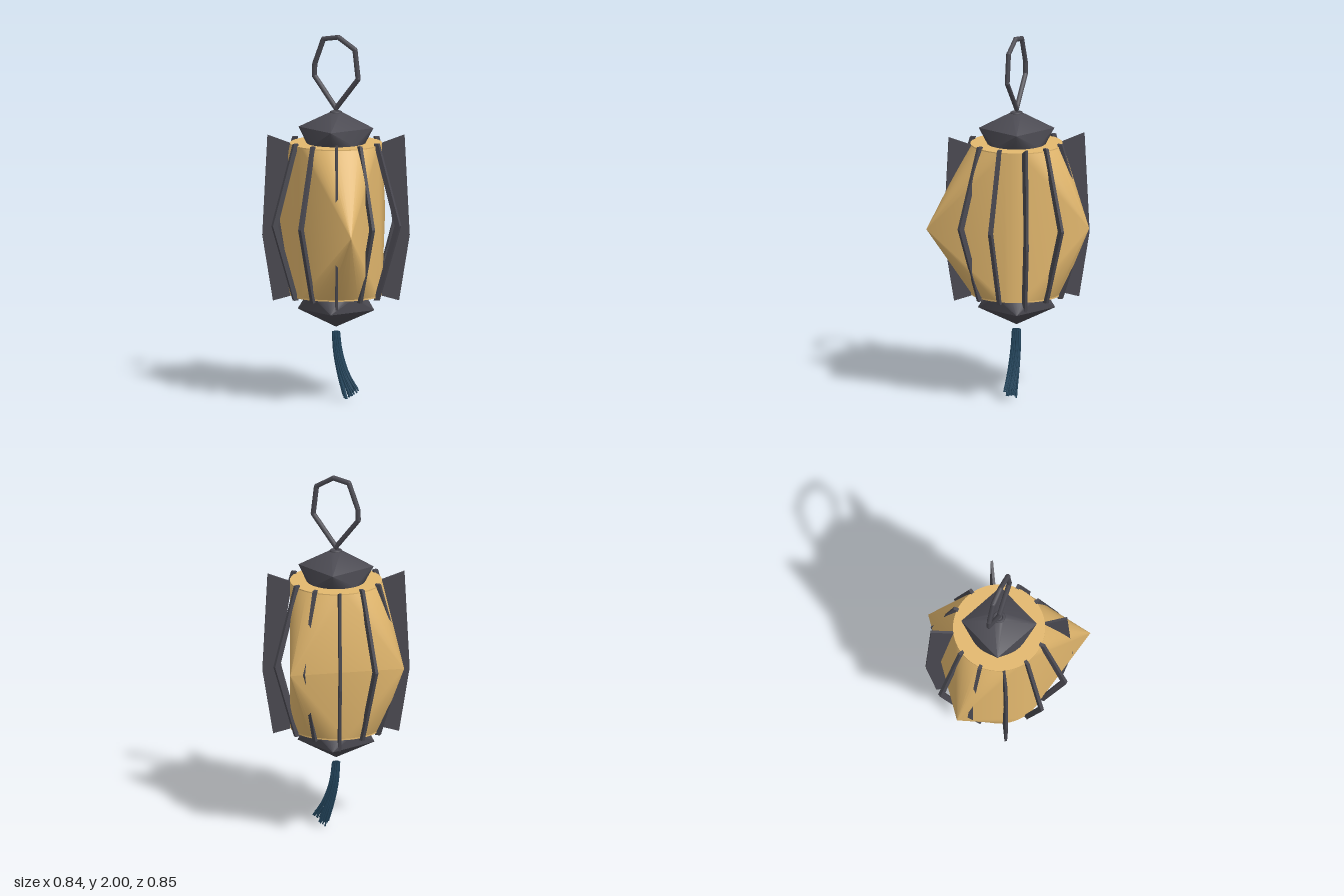
import * as THREE from 'three';
import { toCreasedNormals } from 'three/addons/utils/BufferGeometryUtils.js';
import { ConvexGeometry } from 'three/addons/geometries/ConvexGeometry.js';

const CX = 0.02, CZ = 0.02; // lantern axis
const V = (x, y, z) => new THREE.Vector3(x, y, z);

function material(name, color) {
  const m = new THREE.MeshStandardMaterial({ color });
  m.name = name;
  return m;
}

// points of a level ring around the lantern axis
function ring(radius, y, count, start = 0) {
  return Array.from({ length: count }, (_, i) => {
    const a = start + (i / count) * Math.PI * 2;
    return V(CX + radius * Math.cos(a), y, CZ + radius * Math.sin(a));
  });
}

// upright plate cut from a [radius, height] outline
function plate(outline, depth) {
  const shape = new THREE.Shape(outline.map(([r, y]) => new THREE.Vector2(r, y)));
  return new THREE.ExtrudeGeometry(shape, { depth, bevelEnabled: false }).translate(0, 0, -depth / 2);
}

export function createModel() {
  const model = new THREE.Group();
  model.name = 'paperLantern';
  const paper = material('tan paper', 0xe3b86e);
  const wood = material('charcoal wood', 0x4b4a52);
  const thread = material('dark blue thread', 0x24475f);

  const add = (name, geometry, mat, parent = model) => {
    const mesh = new THREE.Mesh(geometry, mat);
    mesh.name = name;
    parent.add(mesh);
    return mesh;
  };
  const hull = (points, crease) => toCreasedNormals(new ConvexGeometry(points), crease);

  // Paper body: round ends stretched over three bulging corners
  add('body', hull([
    ...ring(0.25, 1.4, 56), ...ring(0.25, 0.58, 56),
    V(-0.42, 0.98, -0.035), V(0.075, 0.98, -0.425), V(0.34, 0.96, 0.42),
  ], 0.9), paper);

  // Paper end rims
  for (const [name, y] of [['topRim', 1.4], ['bottomRim', 0.578]]) {
    add(name, new THREE.CylinderGeometry(0.25, 0.25, 0.012, 56), paper).position.set(CX, y, CZ);
  }

  // Pointed caps: round foot, twisted square shoulder, blunt apex
  const twist = -0.375;
  add('topCap', hull([
    ...ring(0.16, 1.405, 32), ...ring(0.205, 1.49, 4, twist), ...ring(0.035, 1.572, 16),
  ], 0.8), wood);
  add('bottomCap', hull([
    ...ring(0.16, 0.57, 32), ...ring(0.21, 0.49, 4, twist), V(CX, 0.395, CZ),
  ], 0.9), wood);

  // Ribs around the body: every third is a broad blade, the rest are bowed rods
  const blade = plate([
    [0.24, 1.395], [0.25, 1.405], [0.372, 1.45], [0.4, 0.9], [0.342, 0.54],
    [0.25, 0.565], [0.24, 0.585], [0.305, 0.98],
  ], 0.014);
  const rod = plate([
    [0.24, 1.42], [0.268, 1.42], [0.402, 0.98], [0.268, 0.56], [0.24, 0.56], [0.37, 0.98],
  ], 0.018);
  const ribs = new THREE.Group();
  ribs.name = 'ribs';
  ribs.position.set(CX, 0, CZ);
  model.add(ribs);
  for (let i = 0; i < 12; i++) {
    const broad = i % 3 === 1;
    add(broad ? 'bladeRib' : 'rodRib', broad ? blade : rod, wood, ribs).rotation.y = (i / 12) * Math.PI * 2;
  }

  // Hanging eyelet and angular loop
  const eyelet = add('eyelet', new THREE.TorusGeometry(0.026, 0.009, 8, 20), wood);
  eyelet.rotation.x = Math.PI / 2;
  eyelet.position.set(CX, 1.572, CZ);

  const loop = new THREE.Group();
  loop.name = 'hangingLoop';
  model.add(loop);
  const corners = [
    [0.02, 1.595], [-0.115, 1.765], [-0.112, 1.83], [-0.058, 1.97],
    [0.035, 1.986], [0.138, 1.925], [0.158, 1.765],
  ].map(([x, y]) => V(x, y, CZ));
  corners.forEach((from, i) => {
    const path = new THREE.LineCurve3(from, corners[(i + 1) % corners.length]);
    add('loopBar', new THREE.TubeGeometry(path, 1, 0.014, 6), wood, loop);
    add('loopJoint', new THREE.SphereGeometry(0.014, 8, 6), wood, loop).position.copy(from);
  });

  // Tassel: strands swept towards one side
  const tassel = new THREE.Group();
  tassel.name = 'tassel';
  model.add(tassel);
  const count = 34;
  for (let i = 0; i < count; i++) {
    const a = i * 2.39996;
    const s = Math.sqrt((i + 0.5) / count);
    const u = s * Math.cos(a), w = s * Math.sin(a);
    const end = 0.033 + 0.028 * u + 0.015 * Math.sin(i * 5.3);
    const path = new THREE.CatmullRomCurve3([
      V(CX + 0.02 * u, 0.37, CZ + 0.022 * w),
      V(0.032 + 0.024 * u, 0.26, CZ + 0.026 * w),
      V(0.067 + 0.035 * u, 0.14, CZ + 0.03 * w),
      V(0.115 + 0.048 * u, end, CZ + 0.034 * w),
    ]);
    add('strand', new THREE.TubeGeometry(path, 8, 0.0045, 5), thread, tassel);
  }
  return model;
}
